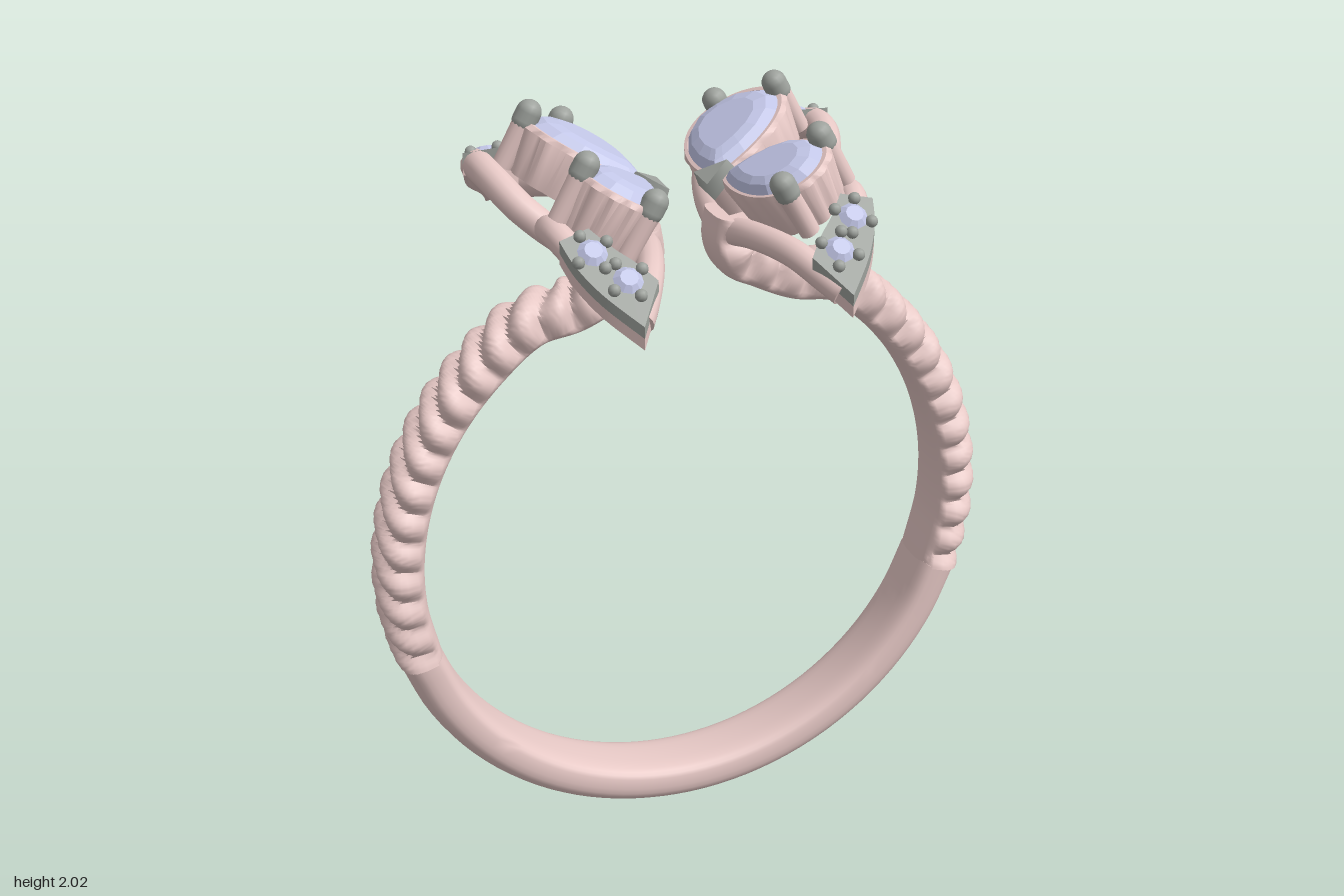
import * as THREE from 'three';
import { toCreasedNormals } from 'three/addons/utils/BufferGeometryUtils.js';

const rose = new THREE.MeshStandardMaterial({ color: 0xe6c8c5 });
const silver = new THREE.MeshStandardMaterial({ color: 0x9da19c });
const stone = new THREE.MeshStandardMaterial({ color: 0xc3c7e8, flatShading: true });
const V = (x, y, z) => new THREE.Vector3(x, y, z);

function add(parent, name, geometry, material, x = 0, y = 0, z = 0) {
  const mesh = new THREE.Mesh(geometry, material);
  mesh.name = name;
  mesh.position.set(x, y, z);
  parent.add(mesh);
  return mesh;
}

// Skin over closed cross-sections that run counter-clockwise about the path
function loft(rings, capped = true, crease = 0.7) {
  const n = rings[0].length, pos = [], idx = [];
  rings.forEach((r) => r.forEach((p) => pos.push(p.x, p.y, p.z)));
  for (let i = 0; i < rings.length - 1; i++) {
    for (let j = 0; j < n; j++) {
      const a = i * n + j, b = i * n + (j + 1) % n;
      idx.push(a, b, a + n, b, b + n, a + n);
    }
  }
  if (capped) {
    [0, rings.length - 1].forEach((i) => {
      const c = V(0, 0, 0);
      rings[i].forEach((p) => c.addScaledVector(p, 1 / n));
      const k = pos.length / 3;
      pos.push(c.x, c.y, c.z);
      for (let j = 0; j < n; j++) {
        const a = i * n + j, b = i * n + (j + 1) % n;
        idx.push(k, i ? a : b, i ? b : a);
      }
    });
  }
  const g = new THREE.BufferGeometry();
  g.setAttribute('position', new THREE.Float32BufferAttribute(pos, 3));
  g.setIndex(idx);
  g.computeVertexNormals();
  return toCreasedNormals(g, crease);
}

// Ring band: flat inside, rounded outside, optionally twisted like rope
function band(points, steps, halfWidth, twisted) {
  const curve = new THREE.CatmullRomCurve3(points, false, 'centripetal');
  const length = curve.getLength(), rings = [], sides = 28;
  for (let i = 0; i <= steps; i++) {
    const u = i / steps, p = curve.getPointAt(u), t = curve.getTangentAt(u);
    const hw = halfWidth(u), ring = [];
    for (let j = 0; j < sides; j++) {
      const a = (j / sides) * Math.PI * 2, c = Math.cos(a), s = -Math.sin(a);
      const round = c > 0 ? 0.85 : 0.45;
      let out = Math.sign(c) * Math.abs(c) ** round * 0.058;
      let side = Math.sign(s) * Math.abs(s) ** 0.7 * hw;
      if (twisted) {
        const lobe = Math.abs(Math.sin(Math.PI * (u * length + 0.55 * side) / 0.085));
        const bulge = 0.028 * (lobe - 0.6) * THREE.MathUtils.smoothstep(c, -0.6, 0.1);
        out += bulge * c;
        side += bulge * s;
      }
      ring.push(V(p.x + t.y * out, p.y - t.x * out, 0.065 + side));
    }
    rings.push(ring);
  }
  return loft(rings, true, 0.9);
}

const onCircle = (deg) => {
  const a = THREE.MathUtils.degToRad(deg);
  return V(0.79 * Math.cos(a), 0.85 + 0.79 * Math.sin(a), 0);
};

// Pear outline at height y; the point lies at (tx, tz), dir leads to the round end
function pear(s, y, sides, scale, scallop = 0) {
  const ring = [], ax = -s.dir[0], az = -s.dir[1];
  for (let j = 0; j < sides; j++) {
    const t = (j / sides) * Math.PI * 2;
    const k = scale * (1 + scallop * Math.abs(Math.sin(t * 8)));
    const a = k * s.len / 2 * Math.cos(t);
    const b = k * s.wid * 0.61 * Math.sin(t) * Math.sin(t / 2) ** 0.7;
    ring.push(V(s.tip[0] - ax * s.len / 2 + ax * a + az * b, y,
      s.tip[1] - az * s.len / 2 + az * a - ax * b));
  }
  return ring;
}

function pearSetting(head, name, s) {
  const gem = [[0.06, -0.11], [0.6, -0.06], [1, -0.01], [1, 0], [0.82, 0.024], [0.6, 0.034]];
  add(head, name + 'Gem', loft(gem.map(([k, y]) => pear(s, y, 14, k))), stone);
  const wall = [[0.92, -0.13, 0.06], [1.07, -0.01, 0.05], [1.05, 0.004, 0], [0.97, 0.004, 0],
    [0.8, -0.13, 0], [0.92, -0.13, 0.06]];
  add(head, name + 'Collar', loft(wall.map(([k, y, f]) => pear(s, y, 64, k, f)), false), rose);
  s.prongs.forEach(([x, z]) => {
    add(head, name + 'ProngPost', new THREE.CylinderGeometry(0.03, 0.026, 0.14, 14), rose, x, -0.06, z);
    add(head, name + 'ProngTip', new THREE.CapsuleGeometry(0.033, 0.025, 5, 14), silver, x, 0.012, z);
  });
}

// Flat leaf plate in (x, z), sheared so that it slopes down to its tip
function plate(l, top, depth) {
  const pts = (a) => a.map(([x, z]) => new THREE.Vector2(x, z));
  const shape = new THREE.Shape();
  shape.moveTo(...l.tip);
  shape.splineThru(pts(l.outer));
  shape.lineTo(...l.inner[0]);
  shape.splineThru(pts(l.inner.slice(1)));
  shape.closePath();
  const g = new THREE.ExtrudeGeometry(shape, { depth, bevelEnabled: false, curveSegments: 8 });
  g.rotateX(Math.PI / 2);
  const p = g.attributes.position;
  for (let i = 0; i < p.count; i++) p.setY(i, p.getY(i) + top + l.height(p.getZ(i)));
  g.computeVertexNormals();
  return toCreasedNormals(g, 0.6);
}

function paveLeaf(parent, name, l) {
  add(parent, name + 'Plate', plate(l, 0, 0.03), silver);
  add(parent, name + 'Backing', plate(l, -0.03, 0.03), rose);
  const tilt = -Math.atan(l.height(1) - l.height(0));
  l.gems.forEach(([x, z]) => {
    const profile = [[0, -0.03], [l.r, 0], [l.r * 0.6, 0.014], [0, 0.014]].map((p) => new THREE.Vector2(...p));
    const gem = add(parent, name + 'Gem', new THREE.LatheGeometry(profile, 10), stone, x, l.height(z) + 0.006, z);
    gem.rotation.x = tilt;
    [[1, 0.5], [-1, -0.5], [0.45, -1], [-0.45, 1]].forEach(([dx, dz]) => {
      const bx = x + dx * l.r * l.lean, bz = z + dz * l.r;
      add(parent, name + 'Bead', new THREE.SphereGeometry(0.016, 10, 8), silver, bx, l.height(bz) + 0.008, bz);
    });
  });
}

function arm(parent, name, radius, points) {
  const rings = [], curve = new THREE.CatmullRomCurve3(points.map((p) => V(...p)));
  const frames = curve.computeFrenetFrames(32);
  for (let i = 0; i <= 32; i++) {
    const c = curve.getPointAt(i / 32);
    rings.push(Array.from({ length: 14 }, (_, j) => {
      const a = (j / 14) * Math.PI * 2;
      return c.clone().addScaledVector(frames.normals[i], radius * Math.cos(a))
        .addScaledVector(frames.binormals[i], radius * Math.sin(a));
    }));
  }
  add(parent, name, loft(rings), rose);
}

function buildHalf() {
  const half = new THREE.Group();
  // Twisted shoulder, curling up at its open end
  const path = [-18, -5, 8, 21, 34, 47, 58].map(onCircle);
  path.push(V(0.3, 1.545, 0), V(0.2, 1.592, 0), V(0.14, 1.625, 0), V(0.122, 1.67, 0), V(0.13, 1.74, 0));
  add(half, 'twistedShoulder', band(path, 200, (u) => 0.09 - 0.02 * u, true), rose);

  // Two pear stones in a plane that tilts toward the gap
  const head = new THREE.Group();
  head.name = 'stoneHead';
  head.position.set(0.1, 1.83, 0.05);
  head.rotation.z = 0.52;
  half.add(head);
  pearSetting(head, 'largePear', { tip: [0, -0.01], dir: [0.6, -0.8], len: 0.36, wid: 0.27,
    prongs: [[0.285, -0.2], [0.145, -0.315]] });
  pearSetting(head, 'smallPear', { tip: [0.01, 0.03], dir: [0.67, 0.742], len: 0.29, wid: 0.21,
    prongs: [[0.25, 0.165], [0.09, 0.265]] });

  // Shared triangular claw at the inner points
  const tri = (r0, r1, h) => new THREE.CylinderGeometry(r0, r1, h, 3).rotateY(Math.PI / 2).toNonIndexed();
  add(head, 'centreClaw', tri(0.055, 0.066, 0.045), silver, -0.012, 0.008, 0.005);
  add(head, 'centreClawPost', tri(0.058, 0.04, 0.11), rose, -0.008, -0.065, 0.005);

  // Open wing frames
  arm(half, 'backInnerArm', 0.04, [[0.11, 1.69, 0.06], [0.14, 1.72, -0.12], [0.2, 1.74, -0.27],
    [0.29, 1.7, -0.42], [0.335, 1.67, -0.48]]);
  arm(half, 'backOuterArm', 0.04, [[0.36, 1.71, -0.43], [0.43, 1.79, -0.3], [0.465, 1.855, -0.19],
    [0.455, 1.85, -0.08], [0.4, 1.79, 0.02], [0.29, 1.71, 0.07], [0.14, 1.68, 0.06]]);
  arm(half, 'frontInnerArm', 0.036, [[0.11, 1.69, 0.06], [0.14, 1.72, 0.19], [0.19, 1.72, 0.34],
    [0.235, 1.685, 0.43], [0.265, 1.66, 0.475]]);
  arm(half, 'frontOuterArm', 0.036, [[0.31, 1.72, 0.4], [0.365, 1.78, 0.31], [0.39, 1.81, 0.23],
    [0.38, 1.79, 0.14], [0.32, 1.73, 0.08], [0.16, 1.68, 0.06]]);

  // Pave leaves on the wing tips
  paveLeaf(half, 'backLeaf', { tip: [0.35, -0.53], outer: [[0.39, -0.43], [0.46, -0.31], [0.505, -0.18]],
    inner: [[0.415, -0.165], [0.38, -0.25], [0.33, -0.33], [0.265, -0.43]], lean: 1.05, r: 0.043,
    gems: [[0.32, -0.43], [0.38, -0.33], [0.43, -0.23]], height: (z) => 1.9 + 0.62 * (z + 0.17) });
  paveLeaf(half, 'frontLeaf', { tip: [0.27, 0.525], outer: [[0.345, 0.445], [0.39, 0.375], [0.41, 0.315]],
    inner: [[0.33, 0.295], [0.285, 0.345], [0.24, 0.385], [0.2, 0.43]], lean: 1.1, r: 0.038,
    gems: [[0.34, 0.355], [0.275, 0.425]], height: (z) => 1.84 - 0.75 * (z - 0.3) });
  return half;
}

// Mirrored copy across x with the winding turned round
function mirrorHalf(half) {
  const copy = new THREE.Group(), flip = new THREE.Matrix4().makeScale(-1, 1, 1);
  half.updateMatrixWorld(true);
  half.traverse((m) => {
    if (!m.isMesh) return;
    const g = (m.geometry.index ? m.geometry.toNonIndexed() : m.geometry.clone())
      .applyMatrix4(m.matrixWorld).applyMatrix4(flip);
    for (const key of ['position', 'normal']) {
      const a = g.attributes[key];
      for (let i = 0; i < a.count; i += 3) {
        const b = [a.getX(i + 1), a.getY(i + 1), a.getZ(i + 1)];
        a.setXYZ(i + 1, a.getX(i + 2), a.getY(i + 2), a.getZ(i + 2));
        a.setXYZ(i + 2, ...b);
      }
    }
    add(copy, m.name, g, m.material);
  });
  return copy;
}

export function createModel() {
  const model = new THREE.Group();
  model.name = 'openRing';
  // Plain lower band
  const lower = Array.from({ length: 15 }, (_, i) => onCircle(-162 + i * 144 / 14));
  add(model, 'lowerBand', band(lower, 48, () => 0.095, false), rose);
  const left = buildHalf();
  const right = mirrorHalf(left);
  left.name = 'leftHalf';
  right.name = 'rightHalf';
  model.add(left, right);
  return model;
}
